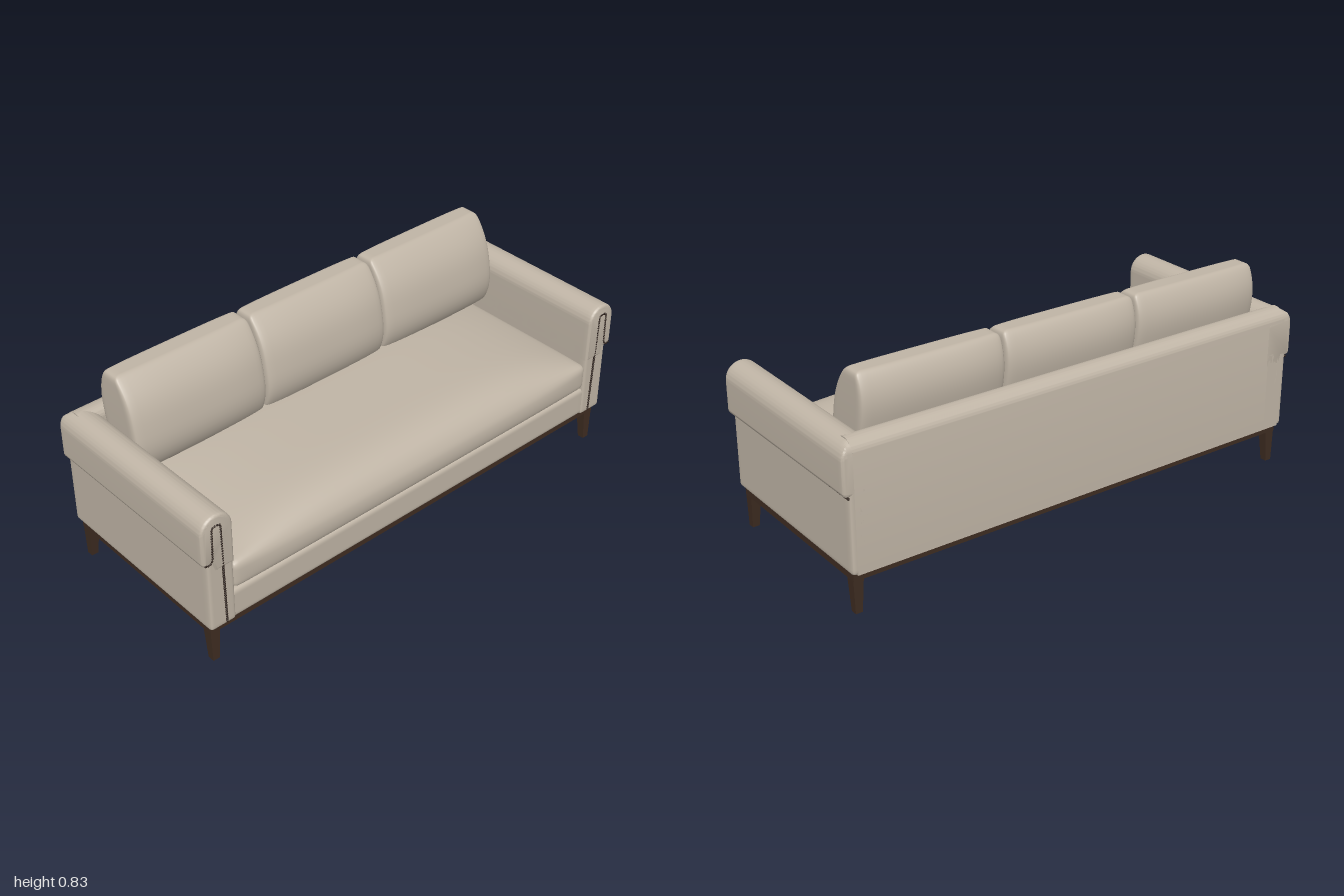
import * as THREE from 'three';
import { mergeVertices, mergeGeometries, toCreasedNormals } from 'three/addons/utils/BufferGeometryUtils.js';

const mat = (name, color) => {
  const m = new THREE.MeshStandardMaterial({ color });
  m.name = name;
  return m;
};

// Box with rounded edges, dense toward its edges; warp(p, u, v, w) may move each point further.
function softBox(min, max, r, segs = [24, 24, 24], warp = null) {
  const lo = new THREE.Vector3(...min), hi = new THREE.Vector3(...max);
  const half = hi.clone().sub(lo).multiplyScalar(0.5);
  const mid = hi.clone().add(lo).multiplyScalar(0.5);
  let geo = new THREE.BoxGeometry(2, 2, 2, ...segs);
  const pos = geo.attributes.position;
  const inner = half.clone().subScalar(r);
  const outer = inner.clone().negate();
  const p = new THREE.Vector3(), q = new THREE.Vector3();
  for (let i = 0; i < pos.count; i++) {
    p.fromBufferAttribute(pos, i);
    p.set(...p.toArray().map((s) => Math.sin(s * Math.PI / 2))).multiply(half);
    q.copy(p).clamp(outer, inner);
    p.sub(q).normalize().multiplyScalar(r).add(q);
    if (warp) warp(p, p.x / half.x, p.y / half.y, p.z / half.z);
    p.add(mid);
    pos.setXYZ(i, p.x, p.y, p.z);
  }
  geo.deleteAttribute('uv');
  geo.deleteAttribute('normal');
  geo = mergeVertices(geo, 1e-5);
  geo.computeVertexNormals();
  return geo;
}

// Rolled arm top that folds over the outer side and rounds down at the rear.
function armRoll(s) {
  const shape = new THREE.Shape();
  shape.moveTo(s * 0.87, 0.42);
  shape.lineTo(s * 0.87, 0.585);
  shape.absarc(s * 0.935, 0.585, 0.065, s > 0 ? Math.PI : 0, s > 0 ? 0 : Math.PI, s > 0);
  shape.lineTo(s * 1.0, 0.475);
  shape.quadraticCurveTo(s * 1.0, 0.455, s * 0.98, 0.455);
  shape.lineTo(s * 0.96, 0.455);
  shape.lineTo(s * 0.95, 0.42);
  const b = 0.012;
  const geo = new THREE.ExtrudeGeometry(shape, {
    depth: 0.812 - 2 * b, steps: 48, curveSegments: 20,
    bevelThickness: b, bevelSize: b, bevelOffset: -b, bevelSegments: 4,
  });
  geo.translate(0, 0, -0.41 + b);
  const pos = geo.attributes.position;
  for (let i = 0; i < pos.count; i++) {
    const d = Math.max(0, -0.36 - pos.getZ(i));
    const cap = 0.6 + Math.sqrt(Math.max(0, 0.0025 - d * d));
    pos.setY(i, Math.min(pos.getY(i), cap));
  }
  return toCreasedNormals(geo, 0.7);
}

// Back rest, profile drawn in depth and height, then run across the width.
function backRest() {
  const shape = new THREE.Shape();
  shape.moveTo(0.41, 0.16);
  shape.lineTo(0.41, 0.6);
  shape.absarc(0.36, 0.6, 0.05, 0, Math.PI / 2, false);
  shape.absarc(0.355, 0.615, 0.035, Math.PI / 2, Math.PI, false);
  shape.lineTo(0.32, 0.16);
  const geo = new THREE.ExtrudeGeometry(shape, { depth: 1.92, bevelEnabled: false, curveSegments: 12 });
  geo.translate(0, 0, -0.96).rotateY(Math.PI / 2);
  return toCreasedNormals(geo, 0.7);
}

// Row of small domes along a polyline.
function nailRow(points, spacing) {
  const path = new THREE.CurvePath();
  const v = points.map((a) => new THREE.Vector3(...a));
  for (let i = 1; i < v.length; i++) path.add(new THREE.LineCurve3(v[i - 1], v[i]));
  const count = Math.round(path.getLength() / spacing);
  return mergeGeometries(path.getSpacedPoints(count).map((p) =>
    new THREE.SphereGeometry(0.005, 8, 6).translate(p.x, p.y, p.z)));
}

// Square leg, straight on its two outer faces and tapered on the inner ones.
function leg(sx, sz, zOuter) {
  const geo = new THREE.BoxGeometry(0.04, 0.135, 0.04);
  const pos = geo.attributes.position;
  for (let i = 0; i < pos.count; i++) {
    const low = pos.getY(i) < 0;
    const innerX = pos.getX(i) * sx < 0, innerZ = pos.getZ(i) * sz < 0;
    const x = innerX ? (low ? 0.936 : 0.926) : (low ? 0.963 : 0.967);
    const z = innerZ ? zOuter - (low ? 0.027 : 0.04) : zOuter;
    pos.setXYZ(i, sx * x, low ? 0 : 0.135, sz * z);
  }
  geo.computeVertexNormals();
  return geo;
}

export function createModel() {
  const sofa = new THREE.Group();
  sofa.name = 'sofa';
  const fabric = mat('beige fabric', 0xbfb4a5);
  const wood = mat('dark wood', 0x3e2c21);
  const metal = mat('dark nail heads', 0x2b1e17);
  const add = (name, geo, material) => {
    const mesh = new THREE.Mesh(geo, material);
    mesh.name = name;
    sofa.add(mesh);
  };

  // Wooden base and legs
  add('baseFrame', new THREE.BoxGeometry(1.934, 0.034, 0.762).translate(0, 0.145, -0.008), wood);
  for (const sx of [1, -1]) {
    const side = sx > 0 ? 'left' : 'right';
    add(side + 'FrontLeg', leg(sx, 1, 0.372), wood);
    add(side + 'BackLeg', leg(sx, -1, 0.386), wood);
  }

  // Upholstered body
  add('frontRail', softBox([-0.92, 0.16, -0.35], [0.92, 0.285, 0.392], 0.02), fabric);
  add('backRest', backRest(), fabric);

  // Arms with nail trim
  for (const s of [1, -1]) {
    const side = s > 0 ? 'left' : 'right';
    const x0 = Math.min(s * 0.87, s * 0.98), x1 = Math.max(s * 0.87, s * 0.98);
    add(side + 'ArmPanel', softBox([x0, 0.16, -0.41], [x1, 0.5, 0.396], 0.014), fabric);
    add(side + 'ArmRoll', armRoll(s), fabric);
    add(side + 'SideNails', nailRow([[s * 0.981, 0.454, 0.39], [s * 0.981, 0.451, -0.405]], 0.0105), metal);
    const front = [[0.912, 0.175], [0.921, 0.602], [0.927, 0.61], [0.95, 0.61], [0.957, 0.602],
      [0.96, 0.475], [0.972, 0.46], [0.988, 0.464]];
    add(side + 'FrontNails', nailRow(front.map(([x, y]) => [s * x, y, y > 0.43 ? 0.401 : 0.396]), 0.0105), metal);
  }

  // Long seat cushion with a crowned top and a slightly full front
  add('seatCushion', softBox([-0.876, 0.288, -0.32], [0.876, 0.4, 0.398], 0.025, [36, 14, 28], (p, u, v, w) => {
    const rise = (v + 1) / 2;
    p.y += 0.077 * rise * rise * (1 - u ** 4) * (1 - w ** 6);
    if (w > 0) p.z += 0.012 * w * (1 - v * v) * (1 - u ** 6);
  }), fabric);

  // Three plump back cushions leaning on the back rest
  const names = ['rightBackCushion', 'middleBackCushion', 'leftBackCushion'];
  names.forEach((name, i) => {
    const cx = (i - 1) * 0.584;
    add(name, softBox([cx - 0.29, 0.45, -0.335], [cx + 0.29, 0.826, -0.115], 0.022, [24, 24, 14], (p, u, v) => {
      const full = 0.36 + 0.64 * (1 - Math.abs(v) ** 2.6);
      p.z *= full * (0.84 + 0.16 * (1 - u ** 4));
      p.z -= 0.035 * v;
      p.x -= 0.004 * u * v * v;
    }), fabric);
  });

  return sofa;
}
